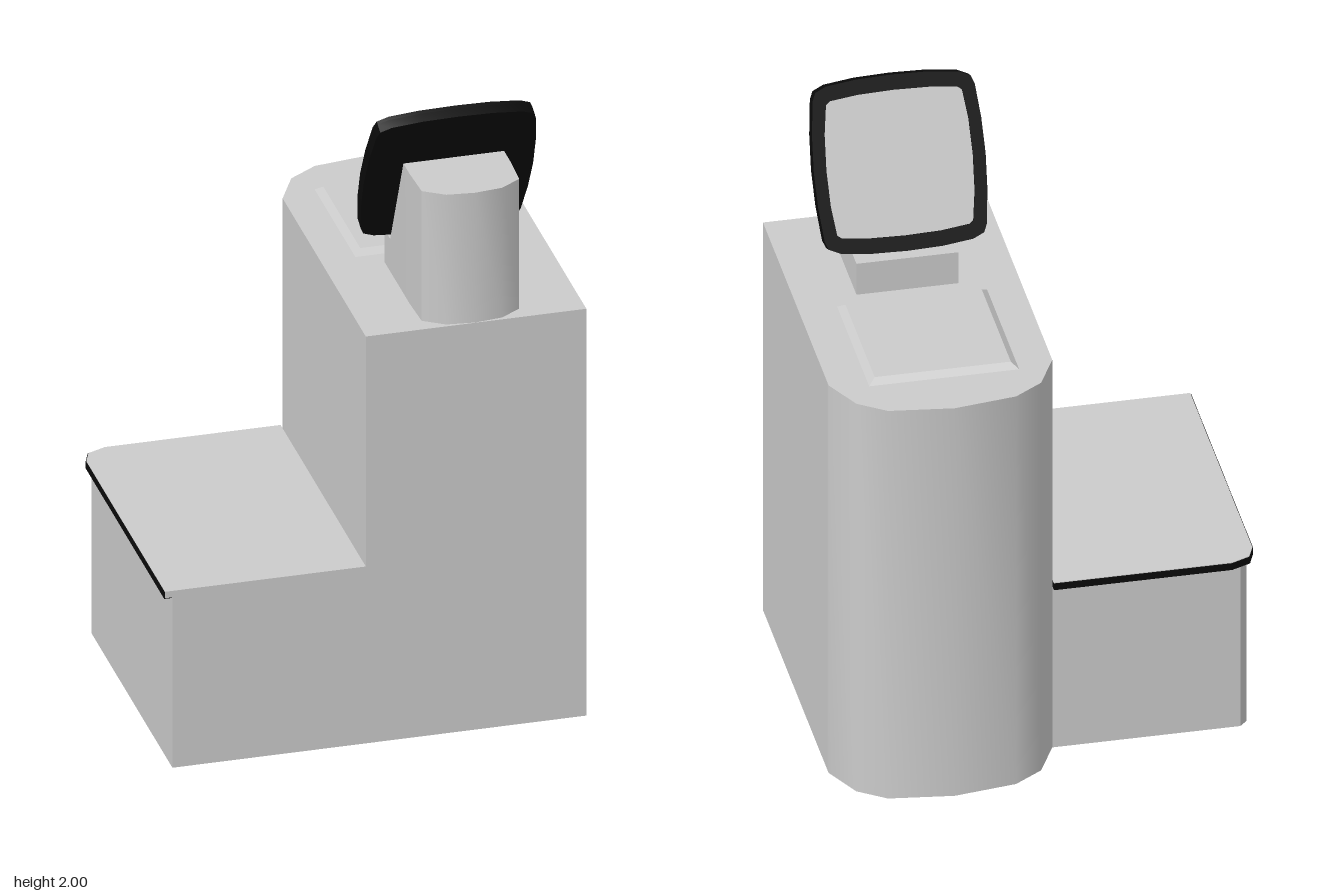
import * as THREE from 'three';
import { toCreasedNormals } from 'three/addons/utils/BufferGeometryUtils.js';

const grey = new THREE.MeshStandardMaterial({ color: 0xcccccc });
const pale = new THREE.MeshStandardMaterial({ color: 0xeeeeee });
const black = new THREE.MeshStandardMaterial({ color: 0x0a0a0a });

const toShape = (pts) => new THREE.Shape(pts.map(([x, y]) => new THREE.Vector2(x, y)));

function part(name, geometry, material) {
  const mesh = new THREE.Mesh(geometry, material);
  mesh.name = name;
  return mesh;
}

const extrude = (shape, depth) =>
  new THREE.ExtrudeGeometry(shape, { depth, bevelEnabled: false });

// Upright prism over a plan given as [x, z] points
function prism(plan, y0, y1) {
  const g = extrude(toShape(plan.map(([x, z]) => [x, -z])), y1 - y0);
  g.rotateX(-Math.PI / 2).translate(0, y0, 0);
  return toCreasedNormals(g, 0.7);
}

// Completes an outline from the points of its first quadrant
function fourfold(quarter) {
  const half = [...quarter, ...[...quarter].reverse().map(([x, y]) => [-x, y])];
  return [...half, ...[...half].reverse().map(([x, y]) => [x, -y])]
    .filter((p, i, a) => {
      const q = a[(i + 1) % a.length];
      return Math.hypot(p[0] - q[0], p[1] - q[1]) > 1e-6;
    });
}

export function createModel() {
  const model = new THREE.Group();
  model.name = 'checkoutCounter';

  // Tall cabinet with a bowed back
  model.add(part('tallCabinet', prism([
    [-0.03, 0.575], [-0.03, -0.35], [-0.03, -0.37], [0.03, -0.49], [0.12, -0.55],
    [0.315, -0.577], [0.515, -0.55], [0.6, -0.49], [0.66, -0.37], [0.66, -0.35], [0.66, 0.575],
  ], 0, 1.38), grey));

  // Low cabinet, its worktop and the dark edge trim
  model.add(part('lowCabinet', prism([
    [-0.635, 0.575], [-0.635, -0.345], [-0.61, -0.37], [-0.03, -0.37], [-0.03, 0.575],
  ], 0, 0.58), grey));
  model.add(part('worktop', prism([
    [-0.658, 0.575], [-0.658, -0.32], [-0.638, -0.368], [-0.58, -0.393], [-0.03, -0.393], [-0.03, 0.575],
  ], 0.578, 0.6), grey));
  model.add(part('worktopTrim', prism([
    [-0.66, 0.573], [-0.66, -0.32], [-0.64, -0.37], [-0.58, -0.395], [-0.03, -0.395],
    [-0.03, -0.36], [-0.58, -0.36], [-0.625, -0.32], [-0.625, 0.573],
  ], 0.575, 0.598), black));

  // Raised pad with sloping edges: the top corners of a box are moved inwards
  const pad = new THREE.BoxGeometry(0.47, 0.02, 0.47).toNonIndexed();
  const pos = pad.attributes.position;
  for (let i = 0; i < pos.count; i++) {
    if (pos.getY(i) > 0) {
      pos.setX(i, pos.getX(i) - Math.sign(pos.getX(i)) * 0.025);
      pos.setZ(i, pos.getZ(i) - Math.sign(pos.getZ(i)) * 0.025);
    }
  }
  pad.computeVertexNormals();
  pad.translate(0.31, 1.387, -0.17);
  model.add(part('scannerPad', pad, pale));

  // Display pedestal: rounded front column and sloping rear wedge with a ledge
  const pedestal = new THREE.Group();
  pedestal.name = 'displayPedestal';
  pedestal.add(part('pedestalColumn', prism([
    [0.155, 0.33], [0.155, 0.4], [0.16, 0.52], [0.225, 0.563], [0.313, 0.573],
    [0.4, 0.563], [0.465, 0.52], [0.47, 0.4], [0.47, 0.33],
  ], 1.38, 1.82), grey));
  const wedge = extrude(toShape([
    [-0.33, 1.38], [-0.115, 1.38], [-0.115, 1.49], [-0.18, 1.49], [-0.33, 1.82],
  ]), 0.315);
  wedge.rotateY(Math.PI / 2).translate(0.155, 0, 0);
  pedestal.add(part('pedestalWedge', wedge, grey));
  model.add(pedestal);

  // Tilted display facing the back
  const display = new THREE.Group();
  display.name = 'display';
  const outer = fourfold([[0.265, 0], [0.261, 0.11], [0.25, 0.215], [0.24, 0.24], [0.205, 0.256], [0.11, 0.267], [0, 0.27]]);
  const inner = fourfold([[0.226, 0], [0.222, 0.11], [0.21, 0.2], [0.197, 0.21], [0.11, 0.22], [0, 0.223]]);
  const rim = toShape(outer);
  rim.holes.push(toShape(inner));
  const housing = extrude(toShape(outer), 0.032).translate(0, 0, -0.01);
  display.add(part('displayHousing', toCreasedNormals(housing, 0.5), black));
  const bezel = extrude(rim, 0.012).translate(0, 0, -0.022);
  display.add(part('displayBezel', toCreasedNormals(bezel, 0.5), black));
  const screen = extrude(toShape(inner), 0.008).translate(0, 0, -0.018);
  display.add(part('displayScreen', screen, pale));
  display.position.set(0.311, 1.747, 0.255);
  display.rotation.x = THREE.MathUtils.degToRad(24);
  model.add(display);

  return model;
}
